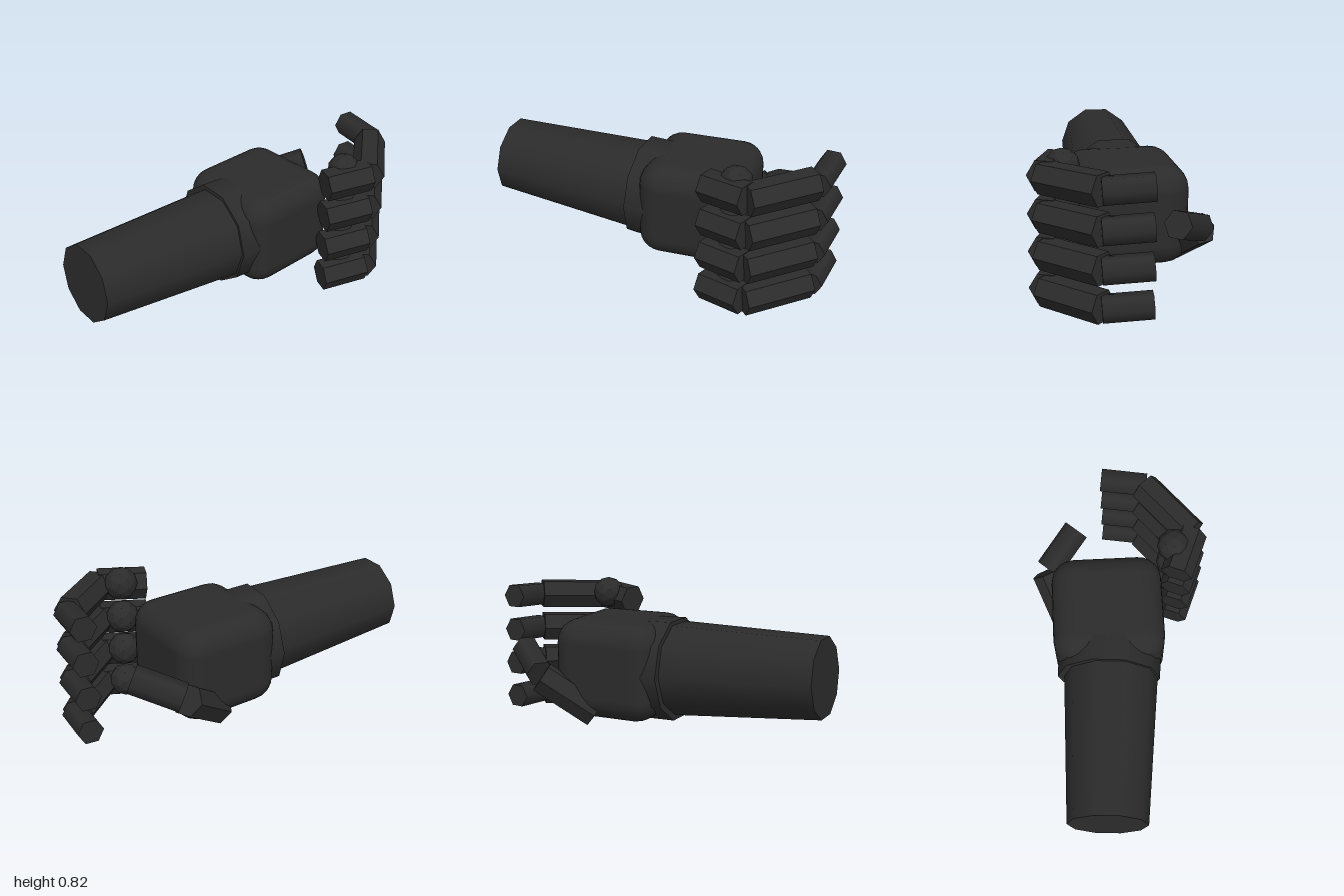
import * as THREE from 'three';
import { RoundedBoxGeometry } from 'three/addons/geometries/RoundedBoxGeometry.js';

const flatDark = (flat) => {
  const m = new THREE.MeshStandardMaterial({ color: 0x2b2b2b });
  m.name = 'charcoal';
  m.flatShading = flat;
  return m;
};

export function createModel() {
  const model = new THREE.Group();
  model.name = 'roboticHand';
  const charcoal = flatDark(false);
  const V = (p) => new THREE.Vector3(...p);

  // Prism between two points, with a flat side turned upwards
  function limb(name, from, to, r0, r1, sides, flat, parent) {
    const a = V(from), b = V(to);
    const dir = b.clone().sub(a);
    const length = dir.length();
    dir.normalize();
    const up = new THREE.Vector3(0, 1, 0).addScaledVector(dir, -dir.y).normalize();
    const side = up.clone().cross(dir);
    let geo = new THREE.CylinderGeometry(r1, r0, length, sides);
    if (flat) {
      geo = geo.toNonIndexed();
      geo.computeVertexNormals();
    }
    const mesh = new THREE.Mesh(geo, charcoal);
    mesh.quaternion.setFromRotationMatrix(new THREE.Matrix4().makeBasis(up, dir, side));
    mesh.position.copy(a).add(b).multiplyScalar(0.5);
    mesh.name = name;
    parent.add(mesh);
  }

  // Forearm and wrist collar
  limb('forearm', [-0.99, 0.45, -0.13], [-0.1, 0.408, -0.07], 0.22, 0.267, 10, false, model);
  limb('wristCollar', [-0.15, 0.407, -0.085], [0.02, 0.401, -0.072], 0.29, 0.29, 10, false, model);

  // Palm block
  const palm = new THREE.Mesh(new RoundedBoxGeometry(0.61, 0.55, 0.625, 3, 0.13), charcoal);
  palm.position.set(0.205, 0.405, -0.0725);
  palm.name = 'palm';
  model.add(palm);

  // Four curled fingers, stacked from bottom to top
  for (let i = 0; i < 4; i++) {
    const finger = new THREE.Group();
    finger.name = 'finger' + (i + 1);
    finger.position.y = i * 0.2035;
    limb('fingerBase', [0.337, 0.09, 0.317], [0.583, 0.105, 0.418], 0.09, 0.09, 6, true, finger);
    limb('fingerMiddle', [0.58, 0.1, 0.42], [0.88, 0.117, 0.17], 0.09, 0.09, 6, true, finger);
    limb('fingerTip', [0.893, 0.115, 0.18], [0.928, 0.132, -0.075], 0.073, 0.073, 6, false, finger);
    const ball = new THREE.IcosahedronGeometry(0.092, 1);
    ball.computeVertexNormals();
    const knuckle = new THREE.Mesh(ball, charcoal);
    knuckle.position.set(0.495, 0.13, 0.31);
    knuckle.name = 'knuckle';
    finger.add(knuckle);
    model.add(finger);
  }

  // Thumb on the back side
  const thumb = new THREE.Group();
  thumb.name = 'thumb';
  limb('thumbBase', [0.27, 0.165, -0.3], [0.54, 0.365, -0.42], 0.09, 0.09, 6, true, thumb);
  limb('thumbTip', [0.555, 0.38, -0.41], [0.755, 0.475, -0.235], 0.08, 0.08, 6, false, thumb);
  model.add(thumb);

  return model;
}
